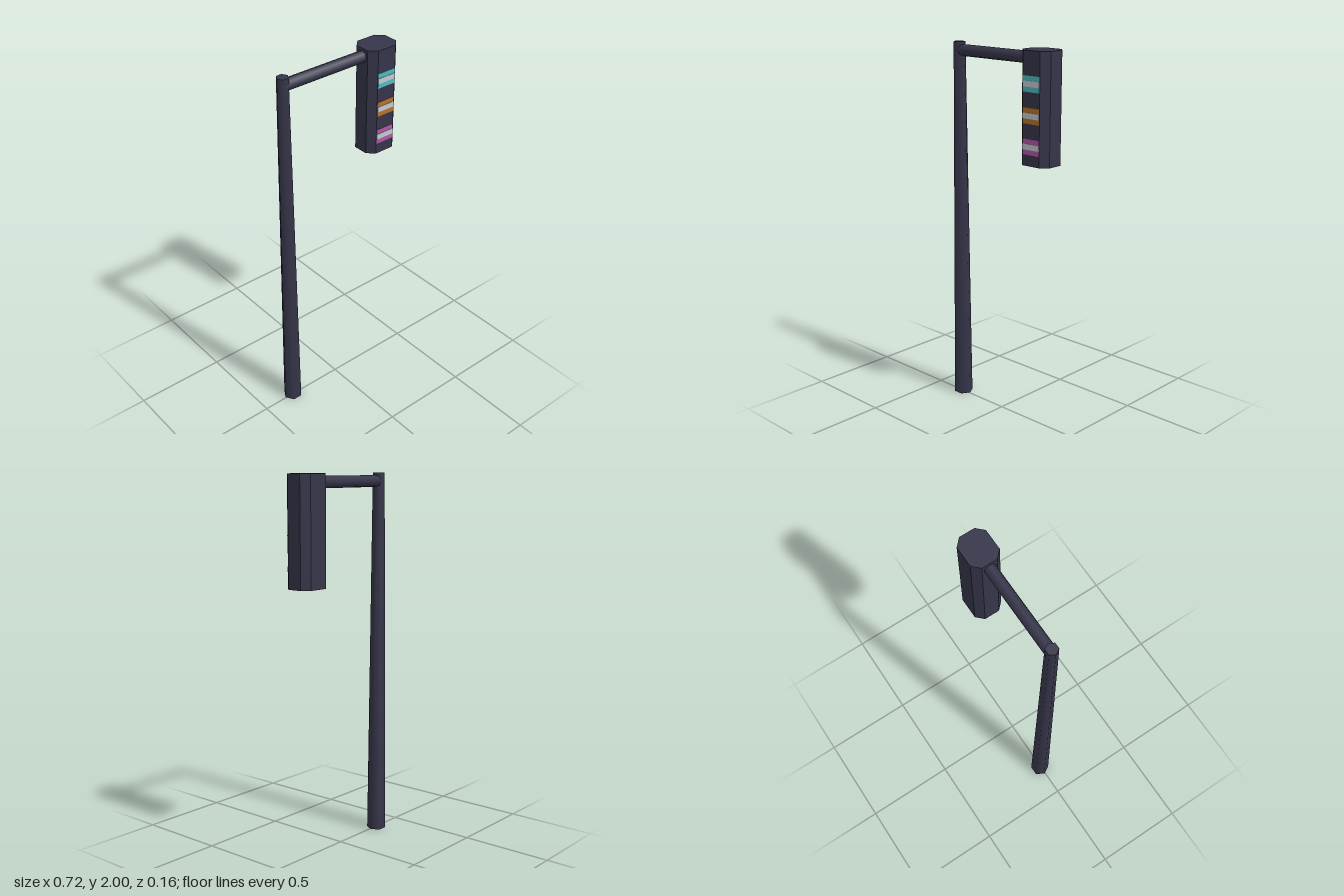
import * as THREE from 'three';

const Z = -0.005; // shared centre plane of the pole, arm and housing

export function createModel() {
  const model = new THREE.Group();
  model.name = 'trafficLight';

  const paint = (name, color) => {
    const m = new THREE.MeshStandardMaterial({ color });
    m.name = name;
    return m;
  };
  const metal = paint('darkMetal', 0x36354a);
  const glow = paint('paleGlow', 0xc3cad2);
  const cyan = paint('cyan', 0x4fbcc1);
  const orange = paint('orange', 0xb5712c);
  const pink = paint('pink', 0xb357a3);

  const add = (name, geometry, material, x, y, z) => {
    const mesh = new THREE.Mesh(geometry, material);
    mesh.name = name;
    mesh.position.set(x, y, z);
    model.add(mesh);
    return mesh;
  };

  // Tapered six-sided pole with corners pointing along x
  add('pole', new THREE.CylinderGeometry(0.032, 0.052, 2, 6, 1, false, Math.PI / 2), metal, -0.311, 1, Z);

  // Horizontal arm from the pole into the housing
  const arm = add('arm', new THREE.CylinderGeometry(0.031, 0.031, 0.51, 8), metal, -0.055, 1.956, Z);
  arm.rotation.z = Math.PI / 2;

  // Signal housing: an eight-sided prism with chamfered corners
  const w = 0.093, d = 0.078, c = 0.037;
  const outline = new THREE.Shape([
    [w - c, -d], [w, c - d], [w, d - c], [w - c, d],
    [c - w, d], [-w, d - c], [-w, c - d], [c - w, -d],
  ].map(([x, y]) => new THREE.Vector2(x, y)));
  const housing = new THREE.ExtrudeGeometry(outline, { depth: 0.57, bevelEnabled: false });
  housing.rotateX(-Math.PI / 2);
  add('housing', housing, metal, 0.268, 1.43, Z);

  // Signal lights: coloured plate with a pale band across the middle
  const front = Z + d;
  const lights = [['upper', cyan, 1.839], ['middle', orange, 1.682], ['lower', pink, 1.527]];
  for (const [name, material, y] of lights) {
    add(name + 'Light', new THREE.BoxGeometry(0.108, 0.08, 0.004), material, 0.268, y, front);
    add(name + 'LightBand', new THREE.BoxGeometry(0.108, 0.029, 0.004), glow, 0.268, y, front + 0.002);
  }
  return model;
}
